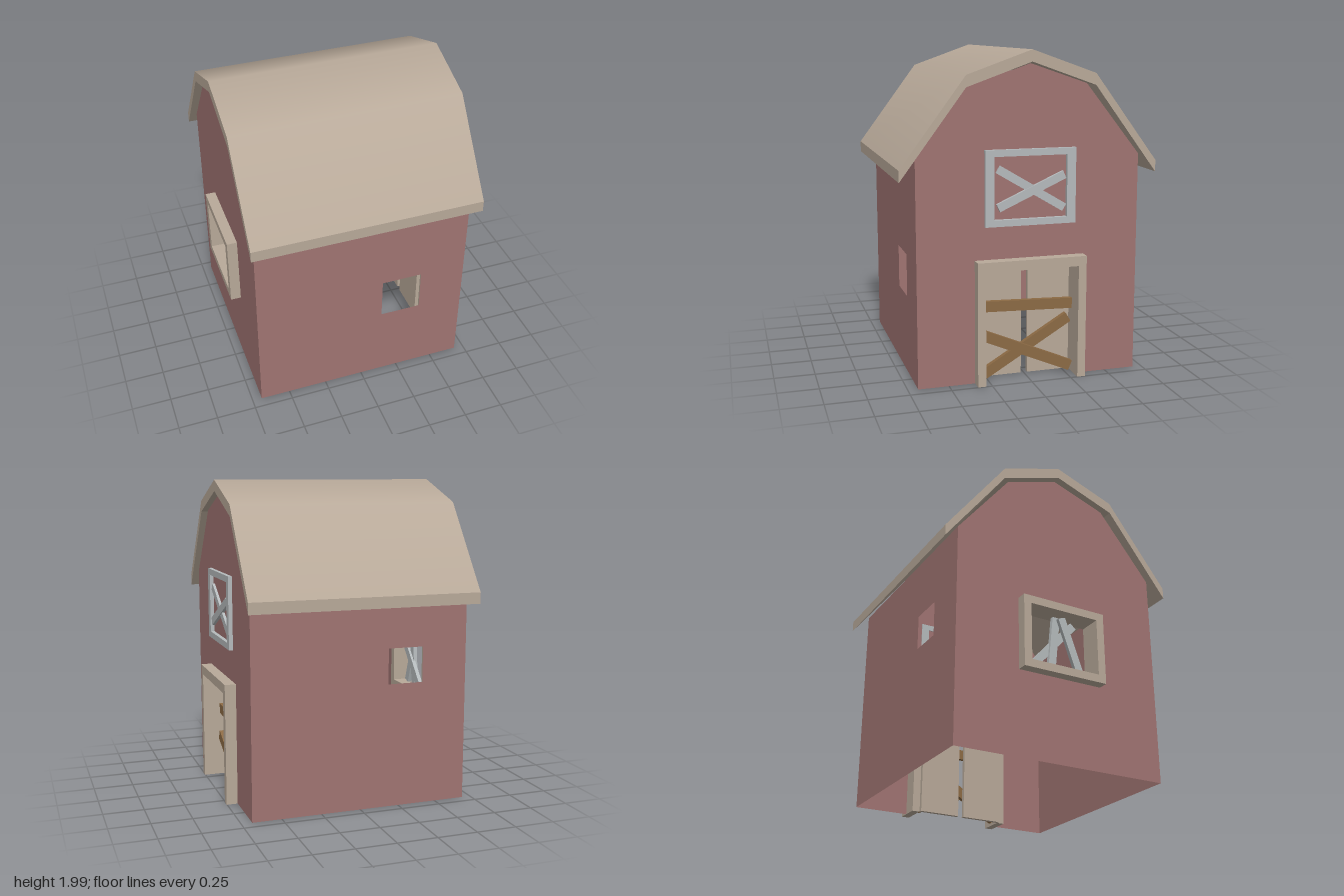
import * as THREE from 'three';

const mat = (color, side = THREE.FrontSide) => new THREE.MeshStandardMaterial({ color, side });

export function createModel() {
  const barn = new THREE.Group();
  barn.name = 'barn';
  const red = mat(0xa07472, THREE.DoubleSide);
  const beige = mat(0xb8a999);
  const grey = mat(0xb5babc);
  const brown = mat(0x8c6a44);

  const add = (name, geometry, material, parent = barn) => {
    const mesh = new THREE.Mesh(geometry, material);
    mesh.name = name;
    parent.add(mesh);
    return mesh;
  };
  const shapeOf = pts => new THREE.Shape(pts.map(p => new THREE.Vector2(...p)));
  const rect = (a0, a1, y0, y1) => [[a0, y0], [a1, y0], [a1, y1], [a0, y1]];
  const cut = (shape, pts) => {
    shape.holes.push(new THREE.Path(pts.map(p => new THREE.Vector2(...p))));
    return shape;
  };
  // A shape drawn in (-z, y), given thickness from x0 to x1
  const slab = (shape, x0, x1) =>
    new THREE.ExtrudeGeometry(shape, { depth: x1 - x0, bevelEnabled: false })
      .rotateY(Math.PI / 2).translate(x0, 0, 0);
  // A plank between two (z, y) points, at x with thickness t
  const plank = (name, [z0, y0], [z1, y1], width, x, t, material, parent) => {
    const mesh = add(name, new THREE.BoxGeometry(t, width, Math.hypot(z1 - z0, y1 - y0)), material, parent);
    mesh.position.set(x, (y0 + y1) / 2, (z0 + z1) / 2);
    mesh.rotation.x = -Math.atan2(y1 - y0, z1 - z0);
  };

  const floor = 0.01, half = 0.69, xBack = -0.69, xDoor = 0.685;

  // Thin side walls, each with one square opening
  const sideWall = (name, hole, z) => add(name, new THREE.ShapeGeometry(
    cut(shapeOf(rect(xBack, xDoor, floor, 1.37)), hole)).translate(0, 0, z), red);
  sideWall('frontWall', rect(0.13, 0.39, 0.5, 0.765), half);
  sideWall('backWall', rect(-0.4, -0.175, 0.78, 1.0), -half).geometry.computeVertexNormals();

  // Gable walls: one with a doorway, one with a window opening
  const gableTop = [[half, 1.37], [0.35, 1.8], [0, 1.92], [-0.35, 1.8], [-half, 1.37]];
  const doorGable = shapeOf([[-half, floor], [-0.3, floor], [-0.3, 0.72], [0.3, 0.72],
    [0.3, floor], [half, floor], ...gableTop]);
  const windowGable = cut(shapeOf([[-half, floor], [half, floor], ...gableTop]),
    rect(-0.25, 0.25, 0.57, 0.97));
  add('doorGable', new THREE.ShapeGeometry(doorGable).rotateY(Math.PI / 2).translate(xDoor, 0, 0), red);
  add('windowGable', new THREE.ShapeGeometry(windowGable).rotateY(-Math.PI / 2).translate(xBack, 0, 0), red);

  // Gambrel roof: the same profile above and below, smooth across its top
  const over = [[-0.79, 1.33], [-0.395, 1.86], [0, 2], [0.395, 1.86], [0.79, 1.33]];
  const under = over.map(([z, y]) => [z, y - 0.07]).reverse();
  const roof = slab(shapeOf([...over, ...under].reverse()), -0.73, 0.72);
  const pos = roof.attributes.position, nor = roof.attributes.normal;
  const upper = new THREE.Vector2(0.14, 0.395).normalize();
  const lower = new THREE.Vector2(0.53, 0.395).normalize();
  const knee = upper.clone().add(lower).normalize();
  for (let i = 0; i < pos.count; i++) {
    if (nor.getY(i) < 0.3) continue;
    const z = pos.getZ(i), s = Math.sign(z);
    if (Math.abs(z) < 0.01) nor.setXYZ(i, 0, 1, 0);
    else if (Math.abs(z) < 0.5) nor.setXYZ(i, 0, knee.y, s * knee.x);
  }
  add('roof', roof, beige);

  // Deep door frame, two door leaves with a gap, and nailed planks
  const door = new THREE.Group();
  door.name = 'doorway';
  barn.add(door);
  add('doorFrame', slab(shapeOf([[-0.34, floor], [-0.29, floor], [-0.29, 0.71], [0.29, 0.71],
    [0.29, floor], [0.34, floor], [0.34, 0.77], [-0.34, 0.77]]), 0.585, 0.755), beige, door);
  for (const s of [-1, 1]) {
    const leaf = add('doorLeaf', new THREE.BoxGeometry(0.025, 0.7, 0.27), beige, door);
    leaf.position.set(0.573, 0.36, s * 0.155);
  }
  plank('doorPlank', [0.29, 0.47], [-0.29, 0.45], 0.065, 0.63, 0.03, brown, door);
  plank('doorPlank', [0.275, 0.29], [-0.28, 0.05], 0.065, 0.64, 0.03, brown, door);
  plank('doorPlank', [0.265, 0.035], [-0.275, 0.355], 0.065, 0.607, 0.03, brown, door);

  // Loft hatch: flat frame with crossed boards
  const loft = new THREE.Group();
  loft.name = 'loftHatch';
  barn.add(loft);
  add('loftFrame', slab(cut(shapeOf(rect(-0.28, 0.28, 0.97, 1.425)),
    rect(-0.225, 0.225, 1.01, 1.385)), 0.68, 0.71), grey, loft);
  plank('loftBoard', [0.2, 1.31], [-0.21, 1.065], 0.05, 0.692, 0.02, grey, loft);
  plank('loftBoard', [0.2, 1.08], [-0.21, 1.265], 0.05, 0.697, 0.02, grey, loft);

  // Boarded window on the far gable
  const win = new THREE.Group();
  win.name = 'gableWindow';
  barn.add(win);
  add('windowFrame', slab(cut(shapeOf(rect(-0.28, 0.28, 0.54, 1.0)),
    rect(-0.23, 0.23, 0.59, 0.95)), -0.755, -0.61), beige, win);
  plank('windowBoard', [-0.04, 0.59], [0.0, 0.95], 0.05, -0.65, 0.025, grey, win);
  plank('windowBoard', [0.14, 0.6], [0.02, 0.94], 0.05, -0.68, 0.025, grey, win);
  plank('windowBoard', [-0.17, 0.6], [0.13, 0.93], 0.05, -0.635, 0.025, grey, win);

  return barn;
}
